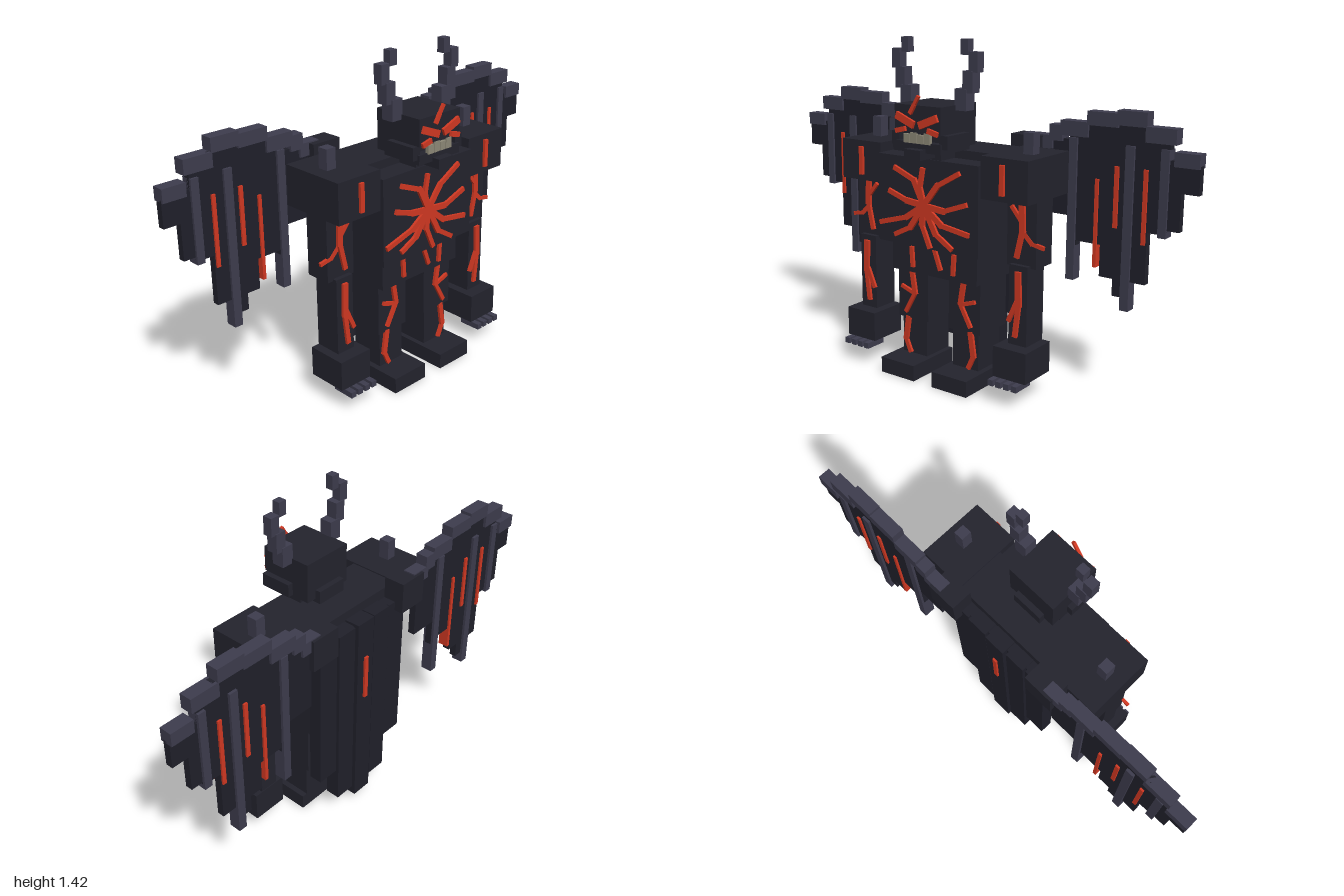
import * as THREE from 'three';

const mat = (name, color) => {
  const m = new THREE.MeshStandardMaterial({ color });
  m.name = name;
  return m;
};

export function createModel() {
  const root = new THREE.Group();
  root.name = 'wingedGolem';
  const stone = mat('darkStone', 0x23232d);
  const hide = mat('wingHide', 0x20202a);
  const bone = mat('greyBone', 0x3d3c4d);
  const lava = mat('lavaRed', 0xd03822);
  const tooth = mat('tooth', 0x8d8877);

  // Box from its min and max corners
  const box = (name, m, x0, x1, y0, y1, z0, z1) => {
    const mesh = new THREE.Mesh(new THREE.BoxGeometry(x1 - x0, y1 - y0, z1 - z0), m);
    mesh.position.set((x0 + x1) / 2, (y0 + y1) / 2, (z0 + z1) / 2);
    mesh.name = name;
    root.add(mesh);
    return mesh;
  };
  // The same box on both sides
  const pair = (name, m, x0, x1, ...r) => {
    box(name + 'Left', m, x0, x1, ...r);
    box(name + 'Right', m, -x1, -x0, ...r);
  };
  // Glowing crack: a chain of slim bars on a front-facing surface
  const crack = (name, pts, z, w = 0.02, depth = 0.012) => {
    const g = new THREE.Group();
    g.name = name;
    for (let i = 0; i + 1 < pts.length; i++) {
      const [ax, ay] = pts[i], [bx, by] = pts[i + 1];
      const len = Math.hypot(bx - ax, by - ay);
      const taper = w * (1 - 0.2 * i);
      const bar = new THREE.Mesh(new THREE.BoxGeometry(len + taper * 0.5, taper, depth), lava);
      bar.position.set((ax + bx) / 2, (ay + by) / 2, z + depth / 2);
      bar.rotation.z = Math.atan2(by - ay, bx - ax);
      g.add(bar);
    }
    root.add(g);
  };
  const crackPair = (name, pts, z, w) => {
    crack(name + 'Left', pts, z, w);
    crack(name + 'Right', pts.map(([x, y]) => [-x, y]), z, w);
  };

  // Torso
  box('chest', stone, -0.255, 0.255, 0.58, 0.95, -0.155, 0.155);
  box('waist', stone, -0.22, 0.22, 0.45, 0.58, -0.153, 0.112);
  box('upperBack', stone, -0.26, 0.26, 0.88, 0.985, -0.157, 0.06);
  box('neck', stone, -0.07, 0.07, 0.95, 1.04, -0.045, 0.15);

  // Head
  box('skull', stone, -0.115, 0.115, 1.06, 1.17, -0.02, 0.21);
  box('lowerHead', stone, -0.115, 0.115, 1.0, 1.06, -0.02, 0.175);
  pair('cheek', stone, 0.1, 0.14, 1.005, 1.06, 0.06, 0.2);
  box('jaw', stone, -0.115, 0.115, 0.985, 1.025, 0.02, 0.21);
  box('chin', stone, -0.04, 0.04, 0.96, 1.0, 0.15, 0.245);
  for (let i = 0; i < 4; i++) {
    const x = -0.069 + i * 0.034;
    box('tooth', tooth, x, x + 0.031, 1.02, 1.055 + (i % 2) * 0.008, 0.2, 0.214);
  }
  crackPair('eye', [[0.02, 1.095], [0.095, 1.125]], 0.21, 0.03);
  crackPair('cheekGlow', [[0.06, 1.075], [0.1, 1.065]], 0.21, 0.02);
  crack('browCrack', [[-0.03, 1.14], [-0.012, 1.17], [0.01, 1.205]], 0.21, 0.016);

  // Horns
  [[0.11, 0.165, 1.15, 1.235, 0.06, 0.115], [0.145, 0.193, 1.22, 1.305, 0.063, 0.112],
    [0.172, 0.214, 1.3, 1.378, 0.067, 0.108], [0.13, 0.166, 1.365, 1.425, 0.07, 0.105],
  ].forEach((h) => pair('hornBlock', bone, ...h));

  // Arms
  pair('pauldron', stone, 0.255, 0.47, 0.82, 0.99, -0.157, 0.14);
  pair('shoulderSpike', bone, 0.365, 0.41, 0.99, 1.075, -0.035, 0.012);
  pair('upperArm', stone, 0.325, 0.46, 0.55, 0.82, -0.06, 0.055);
  pair('forearm', stone, 0.35, 0.435, 0.23, 0.56, -0.045, 0.075);
  pair('hand', stone, 0.315, 0.47, 0.1, 0.228, -0.047, 0.132);
  [0.33, 0.367, 0.404, 0.441].forEach((x) => pair('finger', bone, x - 0.011, x + 0.013, 0.075, 0.1, 0.07, 0.172));

  // Legs
  pair('thigh', stone, 0.055, 0.215, 0.23, 0.46, -0.105, 0.08);
  pair('shin', stone, 0.07, 0.2, 0.06, 0.24, -0.08, 0.07);
  pair('foot', stone, 0.048, 0.225, 0.0, 0.068, -0.08, 0.19);

  // Back cloak of hanging panels
  box('cloakPanelMiddle', hide, -0.047, 0.047, 0.05, 0.95, -0.225, -0.155);
  pair('cloakPanelInner', hide, 0.058, 0.15, 0.1, 0.945, -0.218, -0.155);
  pair('cloakPanelOuter', hide, 0.158, 0.255, 0.26, 0.94, -0.212, -0.155);
  box('cloakYoke', hide, -0.2, 0.2, 0.8, 0.94, -0.2, -0.15);
  box('cloakGlow', lava, -0.01, 0.01, 0.58, 0.78, -0.234, -0.222);

  // Wing bones along the top edge
  pair('wingRoot', stone, 0.195, 0.33, 0.9, 1.035, -0.25, -0.157);
  [[0.28, 0.375, 0.985, 1.04], [0.36, 0.42, 1.02, 1.085], [0.41, 0.535, 1.045, 1.105],
    [0.53, 0.665, 1.095, 1.15], [0.66, 0.785, 1.105, 1.163], [0.78, 0.905, 1.05, 1.11],
    [0.9, 1.0, 0.97, 1.025],
  ].forEach((b) => pair('wingTopBone', bone, ...b, -0.238, -0.185));

  // Wing membranes: x0, x1, bottom, top
  [[0.32, 0.45, 0.72, 1.03], [0.45, 0.49, 0.6, 1.06], [0.49, 0.6, 0.62, 1.1], [0.6, 0.66, 0.49, 1.11],
    [0.66, 0.7, 0.42, 1.12], [0.7, 0.735, 0.5, 1.12], [0.735, 0.8, 0.49, 1.11], [0.8, 0.845, 0.7, 1.06],
    [0.845, 0.88, 0.71, 1.06], [0.88, 0.93, 0.72, 0.99], [0.93, 1.0, 0.87, 0.98],
  ].forEach((b) => pair('wingMembrane', hide, ...b, -0.226, -0.196));

  // Wing fingers and glowing slits
  [[0.452, 0.488, 0.455, 1.04], [0.7, 0.737, 0.37, 1.03], [0.846, 0.88, 0.69, 1.03],
  ].forEach((b) => pair('wingFinger', bone, ...b, -0.237, -0.186));
  [[0.572, 0.587, 0.525, 0.885], [0.655, 0.673, 0.7, 0.945], [0.778, 0.795, 0.65, 0.945],
  ].forEach((b) => pair('wingGlow', lava, ...b, -0.234, -0.188));

  // Chest cracks radiating from one point
  const c = [-0.01, 0.76];
  [[[0.06, 0.85], [0.165, 0.91]], [[-0.06, 0.86], [-0.16, 0.9]], [[-0.03, 0.83], [-0.015, 0.91]],
    [[0.09, 0.75], [0.2, 0.79]], [[0.08, 0.69], [0.21, 0.67]], [[0.05, 0.65], [0.13, 0.6]],
    [[-0.1, 0.7], [-0.24, 0.66]], [[-0.08, 0.66], [-0.16, 0.62]], [[-0.02, 0.68], [0.02, 0.59]],
    [[-0.1, 0.77], [-0.19, 0.8]],
  ].forEach((p) => crack('chestCrack', [c, ...p], 0.155, 0.025));

  // Limb and waist cracks
  crackPair('pauldronCrack', [[0.358, 0.85], [0.358, 0.96]], 0.14, 0.02);
  crackPair('upperArmCrack', [[0.395, 0.82], [0.4, 0.7], [0.375, 0.59]], 0.055, 0.026);
  crackPair('upperArmBranch', [[0.4, 0.69], [0.44, 0.65], [0.49, 0.64]], 0.045, 0.02);
  crackPair('upperArmTwig', [[0.4, 0.73], [0.35, 0.79]], 0.055, 0.016);
  crackPair('forearmCrack', [[0.395, 0.53], [0.4, 0.4], [0.385, 0.27]], 0.075, 0.026);
  crackPair('forearmBranch', [[0.39, 0.41], [0.355, 0.33]], 0.075, 0.018);
  crackPair('thighCrack', [[0.135, 0.44], [0.12, 0.35], [0.17, 0.26]], 0.08, 0.022);
  crackPair('thighBranch', [[0.13, 0.35], [0.19, 0.37]], 0.08, 0.016);
  crackPair('shinCrack', [[0.165, 0.23], [0.18, 0.13], [0.155, 0.075]], 0.07, 0.024);
  crackPair('waistCrack', [[0.11, 0.56], [0.105, 0.48]], 0.112, 0.018);
  crack('navelCrack', [[0.01, 0.57], [0.04, 0.49]], 0.112, 0.018);

  return root;
}
